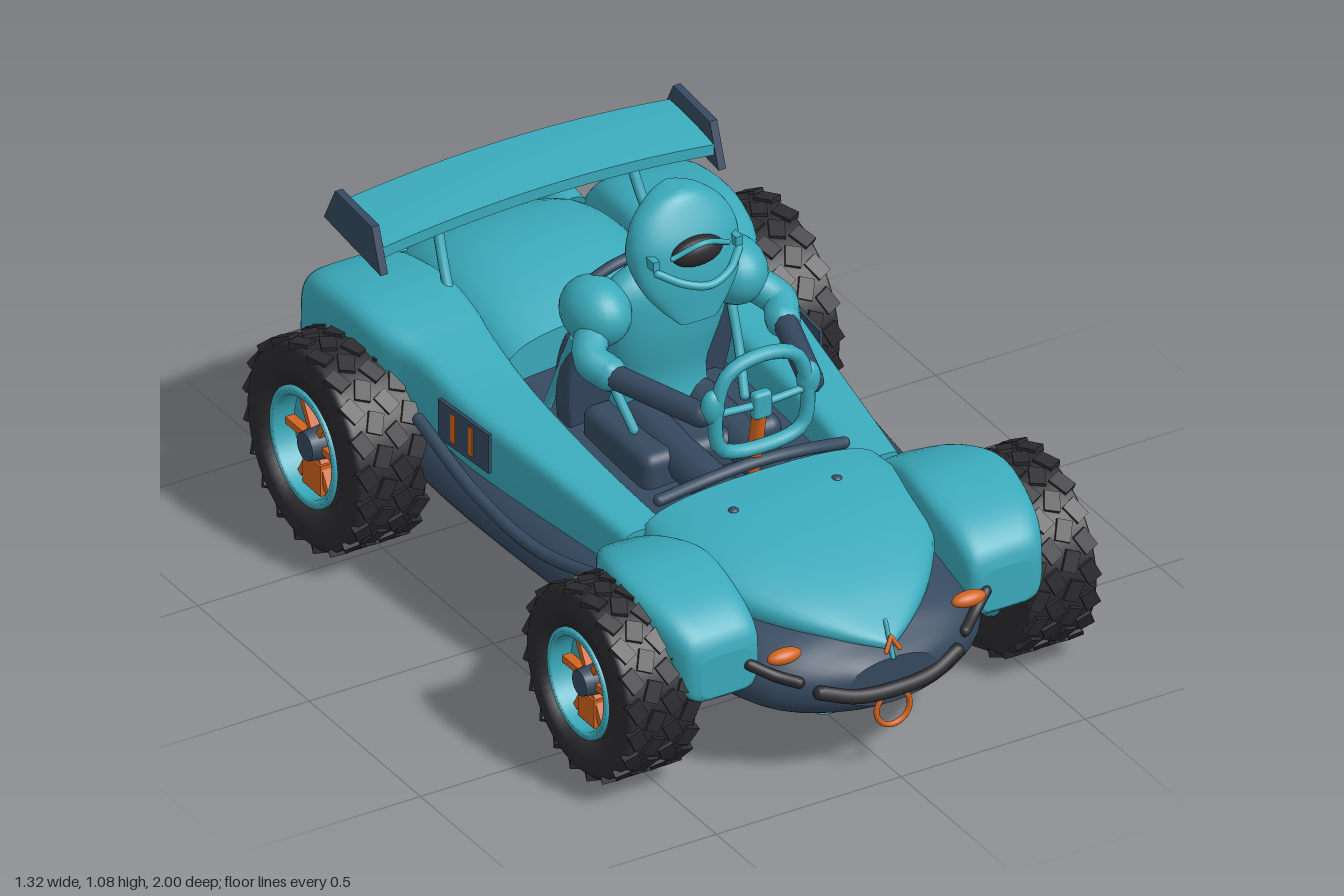
import * as THREE from 'three';
import { RoundedBoxGeometry } from 'three/addons/geometries/RoundedBoxGeometry.js';

const mat = (name, color) => Object.assign(new THREE.MeshStandardMaterial({ color }), { name });
const V = (x, y, z) => new THREE.Vector3(x, y, z);

// Adds points between the rows with a Catmull-Rom rule
function refine(rows, steps = 4) {
  const out = [];
  for (let i = 0; i < rows.length - 1; i++) {
    const [p, a, b, n] = [rows[Math.max(i - 1, 0)], rows[i], rows[i + 1], rows[Math.min(i + 2, rows.length - 1)]];
    for (let k = 0; k < steps; k++) {
      const t = k / steps;
      out.push(a.map((v, c) => v + 0.5 * t * (b[c] - p[c] + t * (2 * p[c] - 5 * v + 4 * b[c] - n[c]
        + t * (3 * (v - b[c]) + n[c] - p[c])))));
    }
  }
  out.push(rows[rows.length - 1]);
  return out;
}

// Skin over superellipse sections; rows are [z, centreX, halfWidth, bottom, top], z falling
function loft(rows, power = 2.5, seg = 32, steps = 4) {
  const pos = [], idx = [], fine = refine(rows, steps);
  const ring = ([z, cx, w, b, t]) => {
    for (let j = 0; j < seg; j++) {
      const a = j / seg * Math.PI * 2, c = Math.cos(a), s = Math.sin(a);
      const f = (v) => Math.sign(v) * Math.abs(v) ** (2 / power);
      pos.push(cx + w * f(c), (b + t) / 2 + (t - b) / 2 * f(s), z);
    }
  };
  fine.forEach(ring);
  for (let i = 0; i < fine.length - 1; i++) for (let j = 0; j < seg; j++) {
    const k = (j + 1) % seg, a = i * seg + j, b = i * seg + k;
    idx.push(a, a + seg, b, b, a + seg, b + seg);
  }
  // end caps
  [fine[0], fine[fine.length - 1]].forEach((r, e) => {
    const o = pos.length / 3;
    ring(r);
    pos.push(r[1], (r[3] + r[4]) / 2, r[0]);
    for (let j = 0; j < seg; j++) {
      const k = (j + 1) % seg;
      idx.push(o + seg, o + (e ? k : j), o + (e ? j : k));
    }
  });
  const g = new THREE.BufferGeometry();
  g.setAttribute('position', new THREE.Float32BufferAttribute(pos, 3));
  g.setIndex(idx);
  g.computeVertexNormals();
  return g;
}

export function createModel() {
  const car = new THREE.Group();
  car.name = 'buggy';
  const teal = mat('teal', 0x3aa9ba), navy = mat('navy', 0x35495f);
  const orange = mat('orange', 0xd2641e), black = mat('rubber black', 0x2b2a2e);

  const add = (name, geo, m, p = [0, 0, 0], r = [0, 0, 0], parent = car) => {
    const mesh = new THREE.Mesh(geo, m);
    mesh.name = name;
    mesh.position.set(...p);
    mesh.rotation.set(...r);
    parent.add(mesh);
  };
  const tube = (name, pts, r, m, closed = false) => {
    add(name, new THREE.TubeGeometry(new THREE.CatmullRomCurve3(pts, closed), 32, r, 10, closed), m);
    if (!closed) [pts[0], pts[pts.length - 1]].forEach((p) =>
      add(name + 'End', new THREE.SphereGeometry(r, 10, 8), m, p.toArray()));
  };
  const ball = (name, m, p, rx, ry = rx, rz = rx) =>
    add(name, new THREE.SphereGeometry(1, 24, 16).scale(rx, ry, rz), m, p);
  const plate = (pts, depth) => new THREE.ExtrudeGeometry(
    new THREE.Shape(pts.map((p) => new THREE.Vector2(...p))), { depth, bevelEnabled: false });

  // Hull, hood, rear deck and undertray
  add('hull', loft([[0.965, 0, 0.12, 0.19, 0.31], [0.92, 0, 0.22, 0.165, 0.335], [0.83, 0, 0.32, 0.145, 0.375],
    [0.6, 0, 0.4, 0.14, 0.42], [0.35, 0, 0.445, 0.14, 0.41], [0, 0, 0.475, 0.145, 0.42], [-0.35, 0, 0.488, 0.15, 0.45],
    [-0.6, 0, 0.45, 0.155, 0.48], [-0.8, 0, 0.39, 0.165, 0.48], [-0.945, 0, 0.32, 0.25, 0.44]], 2.25, 40), navy);
  add('hood', loft([[0.95, 0, 0.012, 0.325, 0.345], [0.9, 0, 0.09, 0.33, 0.378], [0.8, 0, 0.2, 0.33, 0.43],
    [0.65, 0, 0.3, 0.33, 0.48], [0.5, 0, 0.335, 0.33, 0.505], [0.37, 0, 0.32, 0.36, 0.51]]), teal);
  add('rearDeck', loft([[-0.36, 0, 0.25, 0.38, 0.555], [-0.5, 0, 0.26, 0.38, 0.605], [-0.65, 0, 0.26, 0.38, 0.63],
    [-0.8, 0, 0.25, 0.38, 0.605], [-0.9, 0, 0.23, 0.38, 0.54], [-0.95, 0, 0.2, 0.41, 0.47]], 2.6), teal);
  add('undertray', loft([[0.845, 0, 0.13, 0.122, 0.155], [0.5, 0, 0.33, 0.105, 0.158], [0, 0, 0.348, 0.104, 0.16],
    [-0.6, 0, 0.345, 0.105, 0.16], [-0.88, 0, 0.27, 0.125, 0.165]], 2.8, 32, 1), teal);

  for (const s of [-1, 1]) {
    const side = (rows) => rows.map(([z, i, o, b, t]) => [z, s * (i + o) / 2, (o - i) / 2, b, t]);
    add('frontFender', loft(side([[0.85, 0.31, 0.45, 0.27, 0.38], [0.83, 0.285, 0.485, 0.26, 0.43],
      [0.75, 0.275, 0.515, 0.29, 0.48], [0.6, 0.275, 0.53, 0.38, 0.513], [0.47, 0.3, 0.5, 0.36, 0.488],
      [0.36, 0.31, 0.44, 0.33, 0.43]]), 4.6, 40), teal);
    add('sidePodAndRearFender', loft(side([[0.38, 0.25, 0.375, 0.31, 0.455], [0.1, 0.265, 0.41, 0.32, 0.49],
      [-0.2, 0.26, 0.45, 0.34, 0.525], [-0.4, 0.25, 0.47, 0.37, 0.57], [-0.5, 0.24, 0.51, 0.4, 0.6],
      [-0.63, 0.24, 0.53, 0.4, 0.622], [-0.8, 0.255, 0.53, 0.32, 0.6], [-0.89, 0.275, 0.48, 0.25, 0.53],
      [-0.94, 0.29, 0.43, 0.23, 0.43]]), 5, 40), teal);
    tube('sillRail', [V(s * 0.43, 0.35, 0.37), V(s * 0.47, 0.325, 0.15), V(s * 0.485, 0.35, -0.1),
      V(s * 0.485, 0.42, -0.36)], 0.016, navy);
    add('doorPanel', new THREE.BoxGeometry(0.009, 0.105, 0.2), navy, [s * 0.457, 0.45, -0.2], [0, -s * 0.08, 0]);
    for (const z of [-0.17, -0.24])
      add('panelStripe', new THREE.BoxGeometry(0.006, 0.075, 0.018), orange, [s * (0.455 - z * 0.08 - 0.01), 0.45, z]);
    // lights and trim
    ball('headlight', orange, [s * 0.25, 0.352, 0.89], 0.045, 0.019, 0.022);
    tube('frontTrim', [V(s * 0.32, 0.33, 0.85), V(s * 0.27, 0.3, 0.88), V(s * 0.225, 0.285, 0.915)], 0.014, black);
    ball('hoodPin', navy, [s * 0.14, 0.5, 0.48], 0.013, 0.008, 0.013);
    // tail pipes and lamps
    add('tailPipe', new THREE.CylinderGeometry(0.042, 0.05, 0.09, 20), teal, [s * 0.235, 0.5, -0.92], [-1.3, 0, 0]);
    add('tailPipeTip', new THREE.CylinderGeometry(0.036, 0.04, 0.05, 20), navy, [s * 0.235, 0.525, -0.965], [-1.2, 0, 0]);
    ball('tailLamp', orange, [s * 0.255, 0.555, -0.965], 0.015);
    // wing supports
    add('wingEndPlate', plate([[0.56, 0.7], [0.815, 0.73], [0.765, 0.825], [0.6, 0.812]], 0.02)
      .rotateY(Math.PI / 2), navy, [s * 0.458 - 0.01, 0, 0]);
    tube('wingStrut', [V(s * 0.28, 0.58, -0.56), V(s * 0.27, 0.66, -0.61), V(s * 0.26, 0.76, -0.66)], 0.013, teal);
    // seat bars
    tube('seatBar', [V(s * 0.15, 0.5, 0.05), V(s * 0.17, 0.6, -0.01), V(s * 0.18, 0.72, -0.07)], 0.012, teal);
    tube('rearBar', [V(s * 0.22, 0.45, -0.22), V(s * 0.21, 0.68, -0.12)], 0.012, teal);
  }

  // Nose: bumper bar, tow ring, ornament
  tube('bumper', [V(-0.185, 0.26, 0.945), V(-0.1, 0.237, 0.97), V(0, 0.232, 0.978), V(0.1, 0.237, 0.97),
    V(0.185, 0.26, 0.945)], 0.018, black);
  add('towRing', new THREE.TorusGeometry(0.045, 0.007, 10, 28), orange, [0, 0.175, 0.965]);
  tube('ornament', [V(0, 0.31, 0.965), V(0, 0.39, 0.93)], 0.006, teal);
  for (const s of [-1, 1]) tube('ornamentLeg', [V(0, 0.36, 0.955), V(s * 0.018, 0.33, 0.965)], 0.006, orange);

  // Tail: orange trim, plate, diffuser with fins
  tube('tailTrim', [V(-0.2, 0.475, -0.935), V(-0.1, 0.445, -0.955), V(0, 0.435, -0.96), V(0.1, 0.445, -0.955),
    V(0.2, 0.475, -0.935)], 0.01, orange);
  add('tailPlate', new THREE.BoxGeometry(0.2, 0.08, 0.01), navy, [0, 0.34, -0.955]);
  add('diffuser', new THREE.BoxGeometry(0.58, 0.015, 0.19), teal, [0, 0.215, -0.87], [0.6, 0, 0]);
  for (let i = 0; i < 6; i++) add('diffuserFin', plate([[0.8, 0.145], [0.935, 0.16], [0.95, 0.265], [0.86, 0.215]], 0.016)
    .rotateY(Math.PI / 2), i < 5 ? black : teal, [-0.288 + i * 0.112, 0, 0]);

  // Rear wing, slightly arched
  const wing = new THREE.BoxGeometry(0.9, 0.038, 0.2, 16, 1, 6), wp = wing.attributes.position;
  for (let i = 0; i < wp.count; i++) {
    const x = wp.getX(i), z = wp.getZ(i);
    wp.setY(i, wp.getY(i) * (1 - 25 * z * z) + 0.03 * (1 - (x / 0.45) ** 2) - z * 0.1);
  }
  wing.computeVertexNormals();
  add('rearWing', wing, teal, [0, 0.755, -0.682]);

  // Cockpit: seat, dash, steering
  const back = new THREE.Shape();
  back.moveTo(-0.19, 0.4);
  back.lineTo(0.19, 0.4);
  back.bezierCurveTo(0.21, 0.5, 0.23, 0.6, 0.2, 0.67);
  back.bezierCurveTo(0.13, 0.74, -0.13, 0.74, -0.2, 0.67);
  back.bezierCurveTo(-0.23, 0.6, -0.21, 0.5, -0.19, 0.4);
  add('seatBack', new THREE.ExtrudeGeometry(back, { depth: 0.04, bevelSize: 0.01, bevelThickness: 0.012, curveSegments: 16 }),
    navy, [0, 0, -0.27], [0.17, 0, 0]);
  add('seatBase', new RoundedBoxGeometry(0.38, 0.12, 0.3, 3, 0.03), navy, [0, 0.43, 0.02]);
  tube('dashCowl', [V(-0.25, 0.485, 0.33), V(-0.12, 0.515, 0.35), V(0, 0.525, 0.355), V(0.12, 0.515, 0.35),
    V(0.25, 0.485, 0.33)], 0.015, navy);
  tube('steeringColumn', [V(0, 0.5, 0.335), V(0, 0.69, 0.37)], 0.018, orange);
  tube('steeringWheel', [[0, 0.825], [0.09, 0.8], [0.122, 0.72], [0.115, 0.61], [0.075, 0.585], [-0.075, 0.585],
    [-0.115, 0.61], [-0.122, 0.72], [-0.09, 0.8]].map(([x, y]) => V(x, y, 0.375)), 0.018, teal, true);
  add('wheelBoss', new RoundedBoxGeometry(0.05, 0.07, 0.03, 2, 0.01), teal, [0, 0.69, 0.372]);
  tube('wheelSpoke', [V(-0.12, 0.7, 0.375), V(0, 0.69, 0.37), V(0.12, 0.7, 0.375)], 0.01, teal);

  // Driver: upright sections are [height, 0, halfWidth, -frontZ, -backZ]
  const upright = (rows, power) => loft(rows, power).rotateX(-Math.PI / 2);
  add('torso', upright([[0.86, 0, 0.1, 0.03, 0.1], [0.8, 0, 0.17, 0, 0.13], [0.68, 0, 0.16, 0, 0.15],
    [0.55, 0, 0.12, 0.02, 0.15], [0.46, 0, 0.13, 0, 0.17]], 2.2), teal);
  tube('collar', [V(-0.22, 0.815, -0.1), V(-0.12, 0.865, -0.09), V(0, 0.88, -0.085), V(0.12, 0.865, -0.09),
    V(0.22, 0.815, -0.1)], 0.014, navy);
  add('helmet', upright([[1.083, 0, 0.02, -0.01, 0.05], [1.07, 0, 0.065, -0.03, 0.055], [1.03, 0, 0.115, -0.055, 0.055],
    [0.98, 0, 0.14, -0.08, 0.055], [0.93, 0, 0.145, -0.093, 0.052], [0.87, 0, 0.13, -0.1, 0],
    [0.82, 0, 0.095, -0.1, -0.045], [0.775, 0, 0.05, -0.1, -0.085]], 2.2), teal);
  tube('neck', [V(0, 0.82, -0.06), V(0, 0.92, 0)], 0.04, teal);
  ball('visor', black, [0, 0.957, 0.085], 0.068, 0.037, 0.03);
  tube('visorBrow', [V(-0.075, 0.965, 0.1), V(0, 0.995, 0.118), V(0.075, 0.965, 0.1)], 0.007, teal);
  tube('chinGuard', [V(-0.11, 0.93, 0.09), V(-0.06, 0.908, 0.13), V(0, 0.895, 0.145), V(0.06, 0.908, 0.13),
    V(0.11, 0.93, 0.09)], 0.01, teal);
  for (const s of [-1, 1]) {
    ball('shoulder', teal, [s * 0.185, 0.775, -0.065], 0.08, 0.083, 0.1);
    tube('upperArm', [V(s * 0.2, 0.76, -0.04), V(s * 0.255, 0.715, 0.03), V(s * 0.235, 0.695, 0.08)], 0.043, teal);
    tube('forearm', [V(s * 0.235, 0.695, 0.09), V(s * 0.15, 0.695, 0.35)], 0.03, navy);
    ball('hand', teal, [s * 0.13, 0.72, 0.37], 0.03, 0.045, 0.025);
    tube('leg', [V(s * 0.08, 0.47, -0.04), V(s * 0.08, 0.455, 0.15), V(s * 0.07, 0.44, 0.33)], 0.05, navy);
    add('visorHinge', new THREE.BoxGeometry(0.018, 0.025, 0.04), teal, [s * 0.112, 0.95, 0.07]);
  }

  // Wheels, built facing +x
  const addWheel = (name, s, x, y, z, R, h, rim) => {
    const w = new THREE.Group(), r = R - 0.008, turn = -Math.PI / 2;
    w.name = name;
    w.position.set(s * x, y, z);
    if (s < 0) w.rotation.y = Math.PI;
    car.add(w);
    const part = (n, g, m, p, rot) => add(n, g, m, p, rot, w);
    const lathe = (pts) => new THREE.LatheGeometry(pts.map((p) => new THREE.Vector2(...p)), 48).rotateZ(turn);
    part('tyre', lathe([[rim, -h], [r * 0.8, -h], [r * 0.96, -h * 0.96], [r, -h * 0.86], [r, h * 0.86],
      [r * 0.96, h * 0.96], [r * 0.8, h], [rim, h * 0.92], [rim, -h]]), black);
    // staggered tread blocks
    for (let i = 0; i < 20; i++) for (let c = 0; c < 4; c++) {
      const holder = new THREE.Group();
      holder.name = 'treadRow';
      holder.rotation.x = (i + (c % 2) * 0.5) / 20 * Math.PI * 2;
      w.add(holder);
      add('treadBlock', new THREE.BoxGeometry(h * 0.4, 0.018, 0.052), black,
        [(c - 1.5) * h * 0.48, r - 0.002, 0], [0, (c % 2 ? 1 : -1) * 0.45, 0], holder);
    }
    part('rimRing', lathe([[rim * 0.86, -h], [rim * 1.02, -h], [rim * 1.02, h * 0.95], [rim * 0.86, h * 0.95],
      [rim * 0.86, -h]]), teal);
    part('rimDisc', new THREE.CylinderGeometry(rim * 0.9, rim * 0.9, h * 1.2, 32).rotateZ(turn), teal, [-h * 0.2, 0, 0]);
    for (let i = 0; i < 6; i++) {
      const a = i / 6 * Math.PI * 2 + Math.PI / 6;
      part('spoke', new THREE.BoxGeometry(0.03, rim * 0.75, 0.018), orange,
        [h * 0.5, Math.cos(a) * rim * 0.48, Math.sin(a) * rim * 0.48], [a, 0, 0]);
    }
    part('caliper', new THREE.BoxGeometry(0.05, rim * 0.55, rim * 0.54), orange, [h * 0.45, -rim * 0.54, 0]);
    part('hub', new THREE.CylinderGeometry(rim * 0.24, rim * 0.29, h * 0.5, 16).rotateZ(turn), navy, [h * 0.65, 0, 0]);
    part('axle', new THREE.CylinderGeometry(0.03, 0.03, 0.2, 12).rotateZ(turn), black, [-h - 0.08, 0, 0]);
  };
  for (const s of [-1, 1]) {
    addWheel('frontWheel', s, 0.543, 0.247, 0.6, 0.242, 0.097, 0.135);
    addWheel('rearWheel', s, 0.56, 0.271, -0.604, 0.265, 0.097, 0.148);
  }
  return car;
}
